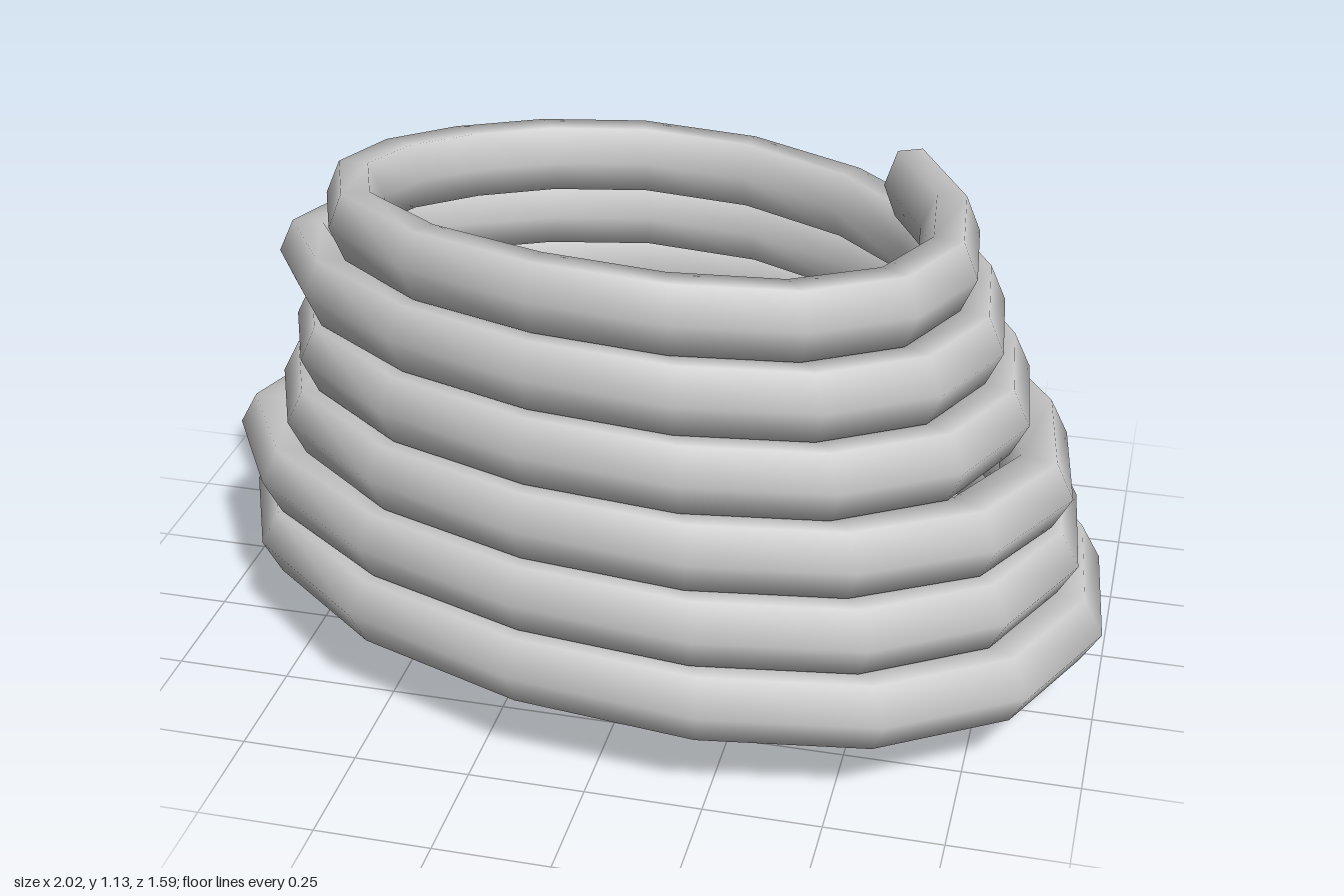
import * as THREE from 'three';

const TURNS = 6, STEPS = 16, SIDES = 6, COUNT = TURNS * STEPS;

// A few places where a turn slips outwards: [turn, amount, spread]
const BULGES = [[1.42, 0.078, 0.09], [2.88, 0.04, 0.11], [4.41, 0.085, 0.085]];

// Corners of the oval that every turn shares: [angle, amount]
const CORNERS = [[2.5, 0.048], [3.75, -0.035]];

// Hexagonal section on a tapering, skewed and tilted elliptical spiral
function ring(i) {
  const u = i / STEPS;
  const t = -0.67 - 2 * Math.PI * u + 0.04 * (1 - Math.cos(2 * Math.PI * u));
  const skewed = t + 0.185 - 0.006 * u;
  const bulge = BULGES.reduce((s, [c, d, w]) => s + d * Math.exp(-(((u - c) / w) ** 2)), 0);
  const corner = CORNERS.reduce((s, [c, d]) => s + d * Math.max(0, Math.cos(t - c)) ** 4, 0);
  const centre = new THREE.Vector3(
    0.03 - 0.0065 * u + (0.945 - 0.052 * u + bulge + corner) * Math.cos(t),
    0.108 + 0.157 * u - 0.025 * Math.cos(t) + 0.037 * Math.sin(t) - 0.015 * Math.cos(2 * t - 0.75),
    0.002 + 0.0095 * u + (0.742 - 0.037 * u + corner) * Math.sin(skewed)
  );
  // The rope is thinner at the top and along z
  const width = 0.092 - 0.0047 * u;
  const out = new THREE.Vector3(Math.cos(t), 0, 0.8 * Math.sin(skewed)).multiplyScalar(width);
  const up = new THREE.Vector3(0, 0.088, 0);
  return Array.from({ length: SIDES }, (_, k) => {
    const a = (k / SIDES) * 2 * Math.PI;
    return centre.clone().addScaledVector(out, Math.cos(a)).addScaledVector(up, Math.sin(a));
  });
}

function makeGeometry(points, index) {
  const g = new THREE.BufferGeometry().setFromPoints(points);
  g.setIndex(index);
  g.computeVertexNormals();
  return g;
}

export function createModel() {
  const group = new THREE.Group();
  group.name = 'coiledRope';
  const material = new THREE.MeshStandardMaterial({ color: 0xcccccc });
  const add = (name, geometry) => {
    const mesh = new THREE.Mesh(geometry, material);
    mesh.name = name;
    group.add(mesh);
  };

  // Rope skin, smooth along and around the coil
  const rings = Array.from({ length: COUNT + 1 }, (_, i) => ring(i));
  const index = [];
  for (let i = 0; i < COUNT; i++) {
    for (let k = 0; k < SIDES; k++) {
      const a = i * SIDES + k, b = i * SIDES + ((k + 1) % SIDES);
      const c = a + SIDES, d = b + SIDES;
      index.push(a, c, b, b, c, d);
    }
  }
  add('coil', makeGeometry(rings.flat(), index));

  // Flat cut ends
  const startFan = [], endFan = [];
  for (let k = 1; k < SIDES - 1; k++) {
    startFan.push(0, k, k + 1);
    endFan.push(0, k + 1, k);
  }
  add('lowerEnd', makeGeometry(rings[0], startFan));
  add('upperEnd', makeGeometry(rings[COUNT], endFan));
  return group;
}
